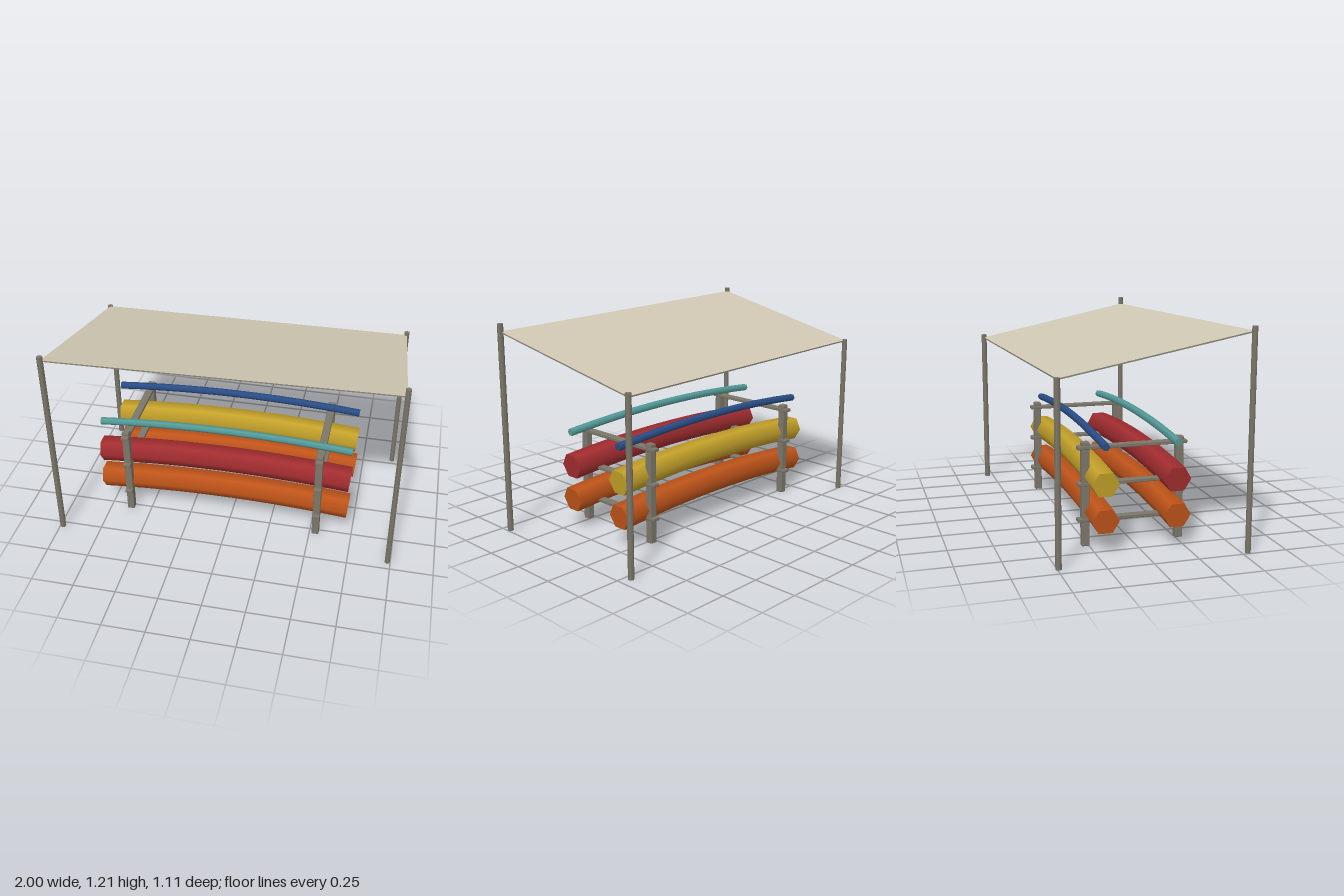
import * as THREE from 'three';
import { RoundedBoxGeometry } from 'three/addons/geometries/RoundedBoxGeometry.js';

const paint = (name, color) => {
  const m = new THREE.MeshStandardMaterial({ color });
  m.name = name;
  return m;
};

// Hexagonal bar along x, bowed upwards into a shallow arc
function bowedBar(radius, length, rise) {
  const g = new THREE.CylinderGeometry(radius, radius, length, 6, 24);
  g.rotateZ(Math.PI / 2);
  const R = length * length / (8 * rise);
  const p = g.attributes.position, n = g.attributes.normal;
  const v = new THREE.Vector3(), axis = new THREE.Vector3(0, 0, 1);
  for (let i = 0; i < p.count; i++) {
    const a = p.getX(i) / R, r = R + p.getY(i);
    p.setXY(i, r * Math.sin(a), r * Math.cos(a) - R);
    v.fromBufferAttribute(n, i).applyAxisAngle(axis, -a);
    n.setXYZ(i, v.x, v.y, v.z);
  }
  return g;
}

export function createModel() {
  const model = new THREE.Group();
  const wood = paint('weathered wood', 0x7c776a);
  const cloth = paint('canvas', 0xd0c8b3);
  const lining = paint('canvas underside', 0x8a8779);
  const orange = paint('orange', 0xbf541a);
  const red = paint('red', 0xa32d30);
  const yellow = paint('yellow', 0xc4a12a);
  const teal = paint('teal', 0x549c9a);
  const blue = paint('blue', 0x2a4e88);

  const add = (parent, name, geometry, material, x, y, z) => {
    const mesh = new THREE.Mesh(geometry, material);
    mesh.name = name;
    mesh.position.set(x, y, z);
    parent.add(mesh);
    return mesh;
  };

  // Canopy poles: x, z, height, height of the canopy corner
  const poles = [
    [-0.983, 0.533, 1.21, 1.182], [0.983, 0.443, 1.21, 1.162],
    [-0.94, -0.494, 0.985, 0.976], [0.938, -0.538, 0.985, 0.962],
  ];
  for (const [x, z, h] of poles) {
    add(model, 'canopyPole', new THREE.CylinderGeometry(0.017, 0.017, h, 6), wood, x, h / 2, z);
  }

  // Sloping canopy stretched between the poles, light on top and dark beneath
  const sheet = new THREE.BoxGeometry(2, 0.008, 2);
  const p = sheet.attributes.position;
  for (let i = 0; i < p.count; i++) {
    const [x, z, , y] = poles[(p.getZ(i) > 0 ? 0 : 2) + (p.getX(i) > 0 ? 1 : 0)];
    p.setXYZ(i, x, y + p.getY(i), z);
  }
  sheet.computeVertexNormals();
  add(model, 'canopy', sheet, [lining, lining, cloth, lining, lining, lining], 0, 0, 0);

  // Two rack frames, each with two uprights and three rails
  for (const x of [-0.625, 0.535]) {
    const frame = new THREE.Group();
    frame.name = 'rackFrame';
    frame.position.x = x;
    for (const z of [-0.268, 0.27]) {
      add(frame, 'upright', new RoundedBoxGeometry(0.043, 0.58, 0.043, 1, 0.005), wood, 0, 0.29, z);
    }
    for (const y of [0.147, 0.347, 0.548]) {
      add(frame, 'rail', new RoundedBoxGeometry(0.046, 0.021, 0.624, 1, 0.005), wood, 0, y, 0);
    }
    model.add(frame);
  }

  // Stacked bowed hulls and the thin rods resting on top
  const hull = bowedBar(0.076, 1.517, 0.036);
  const rod = bowedBar(0.022, 1.517, 0.036);
  const middle = -0.043;
  add(model, 'lowerFrontHull', hull, orange, middle, 0.216, 0.2);
  add(model, 'lowerBackHull', hull, orange, middle, 0.216, -0.2);
  add(model, 'upperFrontHull', hull, red, middle, 0.416, 0.2);
  add(model, 'upperBackHull', hull, yellow, middle, 0.416, -0.2);
  add(model, 'frontRod', rod, teal, middle, 0.619, 0.2);
  add(model, 'backRod', rod, blue, middle, 0.619, -0.2);

  return model;
}
